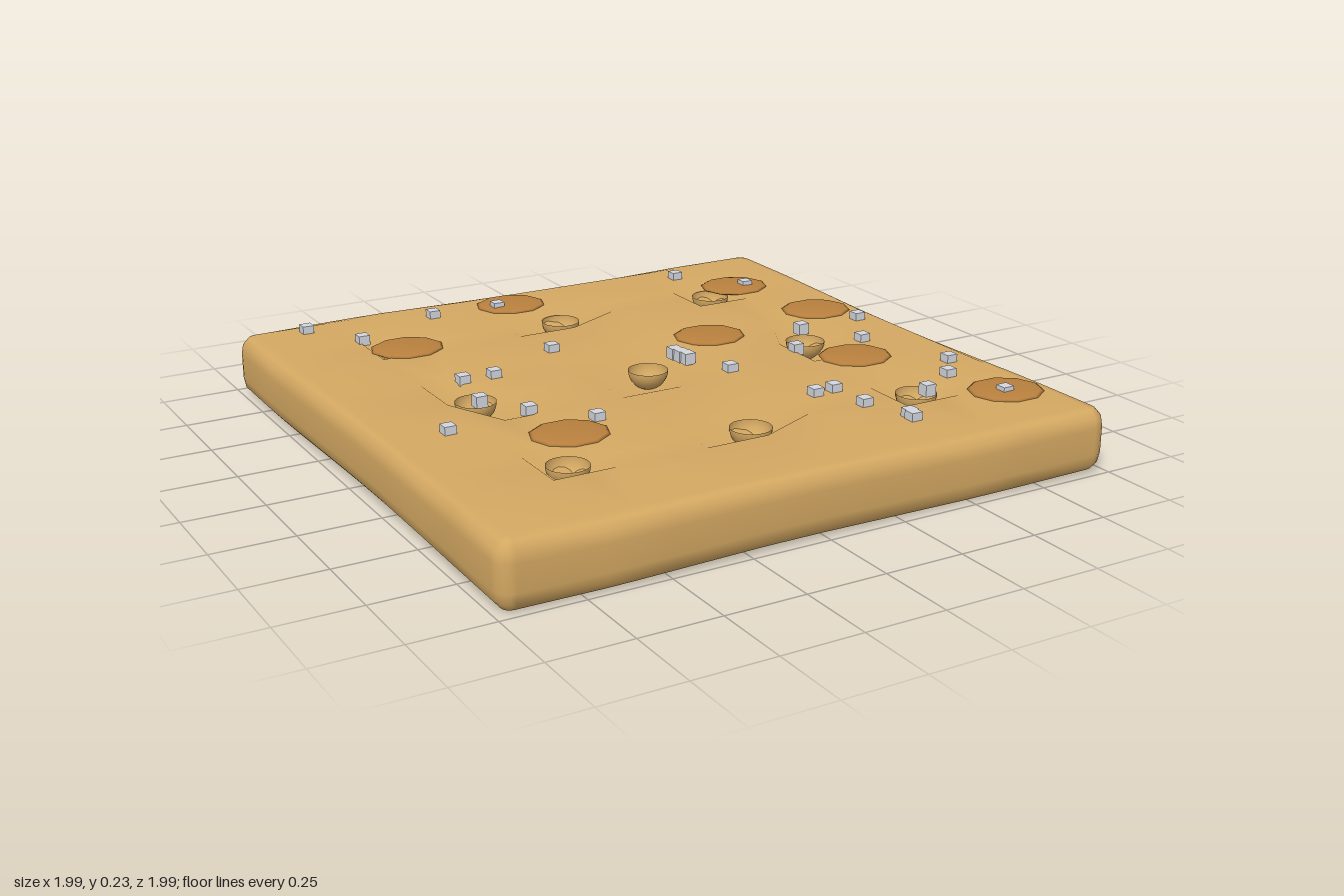
import * as THREE from 'three';
import { mergeVertices } from 'three/addons/utils/BufferGeometryUtils.js';

const dough = new THREE.MeshStandardMaterial({ color: 0xd4a862, side: THREE.DoubleSide });
dough.name = 'baked dough';
const toasted = new THREE.MeshStandardMaterial({ color: 0xb8803e });
toasted.name = 'toasted brown';
const saltWhite = new THREE.MeshStandardMaterial({ color: 0xd3d7de });
saltWhite.name = 'salt';

const TOP = 0.21, BASE = 0.01, HALF = 0.94;
// uneven grid lines; every third one (index 2, 5, 8) carries a row of holes
const LINES = [-HALF, -0.68, -0.59, -0.49, -0.2, 0, 0.2, 0.49, 0.59, 0.68, HALF];
const HOLES = [-0.59, 0, 0.59];
const DENT = 0.07;

function crackerGeometry() {
  const pos = [], index = [];
  const add = (x, y, z) => pos.push(x, y, z) / 3 - 1;

  // top surface, pushed down at each hole
  const n = LINES.length;
  for (let j = 0; j < n; j++) {
    for (let i = 0; i < n; i++) {
      const dented = i % 3 === 2 && j % 3 === 2;
      add(LINES[i], TOP - (dented ? DENT : 0), LINES[j]);
    }
  }
  const middle = (k) => k === 4 || k === 5;
  for (let j = 0; j < n - 1; j++) {
    for (let i = 0; i < n - 1; i++) {
      const a = j * n + i, b = a + n, c = b + 1, d = a + 1;
      // fold direction of each cell shapes the dents
      const back = middle(i) || middle(j) ? i < 4 : (i % 3 === 2) === (j % 3 === 2);
      if (back) index.push(a, b, c, a, c, d);
      else index.push(a, b, d, b, c, d);
    }
  }

  // outline with outward directions, rounded at the corners
  const outline = [];
  for (let s = 0; s < 4; s++) {
    const t = s * Math.PI / 2, sin = Math.sin(t), cos = Math.cos(t);
    const point = (k, turn) => outline.push({
      x: HALF * sin + LINES[k] * cos, z: HALF * cos - LINES[k] * sin,
      nx: Math.sin(t + turn), nz: Math.cos(t + turn),
    });
    for (let k = 0; k < n; k++) point(k, 0);
    for (let c = 1; c < 4; c++) point(n - 1, c * Math.PI / 8);
  }

  // rounded, slightly uneven sides
  const profile = [[0, TOP], [0.025, 0.203], [0.044, 0.182], [0.05, 0.15],
    [0.05, 0.07], [0.044, 0.038], [0.025, 0.016], [0, BASE]];
  const rings = profile.map(([out, y], r) => outline.map((p) => {
    const edge = r === 0 || r === profile.length - 1;
    const wave = Math.sin(4 * p.x + 3 * p.z + 1);
    const o = edge ? out : out + 0.005 * wave;
    return add(p.x + p.nx * o, edge ? y : y + 0.004 * Math.sin(5 * p.x - 4 * p.z), p.z + p.nz * o);
  }));
  const count = outline.length;
  const centre = add(0, BASE, 0);
  for (let k = 0; k < count; k++) {
    const m = (k + 1) % count;
    for (let r = 0; r < rings.length - 1; r++) {
      const t = rings[r], u = rings[r + 1];
      index.push(t[k], u[k], u[m], t[k], u[m], t[m]);
    }
    const last = rings[rings.length - 1];
    index.push(centre, last[m], last[k]);
  }

  let geo = new THREE.BufferGeometry();
  geo.setAttribute('position', new THREE.Float32BufferAttribute(pos, 3));
  geo.setIndex(index);
  geo = mergeVertices(geo, 1e-4);
  geo.computeVertexNormals();
  return geo;
}

// one named group of copies of a geometry at [x, z] spots
function scatter(name, geometry, material, places, y) {
  const group = new THREE.Group();
  group.name = name;
  for (const [x, z] of places) {
    const mesh = new THREE.Mesh(geometry, material);
    mesh.name = name;
    mesh.position.set(x, y, z);
    group.add(mesh);
  }
  return group;
}

export function createModel() {
  const model = new THREE.Group();
  model.name = 'cracker';

  const body = new THREE.Mesh(crackerGeometry(), dough);
  body.name = 'crackerBody';
  model.add(body);

  // small bowls set into the dents
  const bowl = new THREE.SphereGeometry(0.063, 20, 8, 0, Math.PI * 2, Math.PI / 2, Math.PI / 2);
  const holePlaces = HOLES.flatMap((x) => HOLES.map((z) => [x, z]));
  model.add(scatter('dockingHole', bowl, dough, holePlaces, TOP - 0.004));

  // flat toasted patches
  const spot = new THREE.SphereGeometry(1, 10, 8).scale(0.12, 0.012, 0.109);
  model.add(scatter('toastedSpot', spot, toasted, [
    [-0.07, -0.83], [-0.57, -0.56], [0.72, -0.64], [0.81, -0.26],
    [0.34, -0.19], [0.63, 0.22], [-0.48, 0.39], [0.83, 0.715],
  ], TOP + 0.001));

  // salt grains
  const grain = new THREE.BoxGeometry(0.037, 0.037, 0.037);
  model.add(scatter('saltGrain', grain, saltWhite, [
    [-0.79, -0.88], [-0.36, -0.83], [-0.13, -0.81], [0.59, -0.83], [-0.67, -0.69],
    [0.75, -0.615], [-0.18, -0.305], [-0.555, -0.165], [-0.45, -0.165], [0.14, -0.075],
    [0.145, -0.04], [0.15, -0.01], [0.635, -0.09], [0.87, -0.1], [-0.59, 0.03],
    [-0.5, 0.175], [-0.775, 0.215], [0.21, 0.145], [0.5, 0.08], [0.745, 0.1],
    [-0.355, 0.325], [0.855, 0.41], [0.31, 0.465], [0.38, 0.46], [0.765, 0.52],
    [0.385, 0.61], [0.62, 0.605], [0.81, 0.735], [0.44, 0.755], [0.435, 0.78],
  ], TOP + 0.007));

  return model;
}
